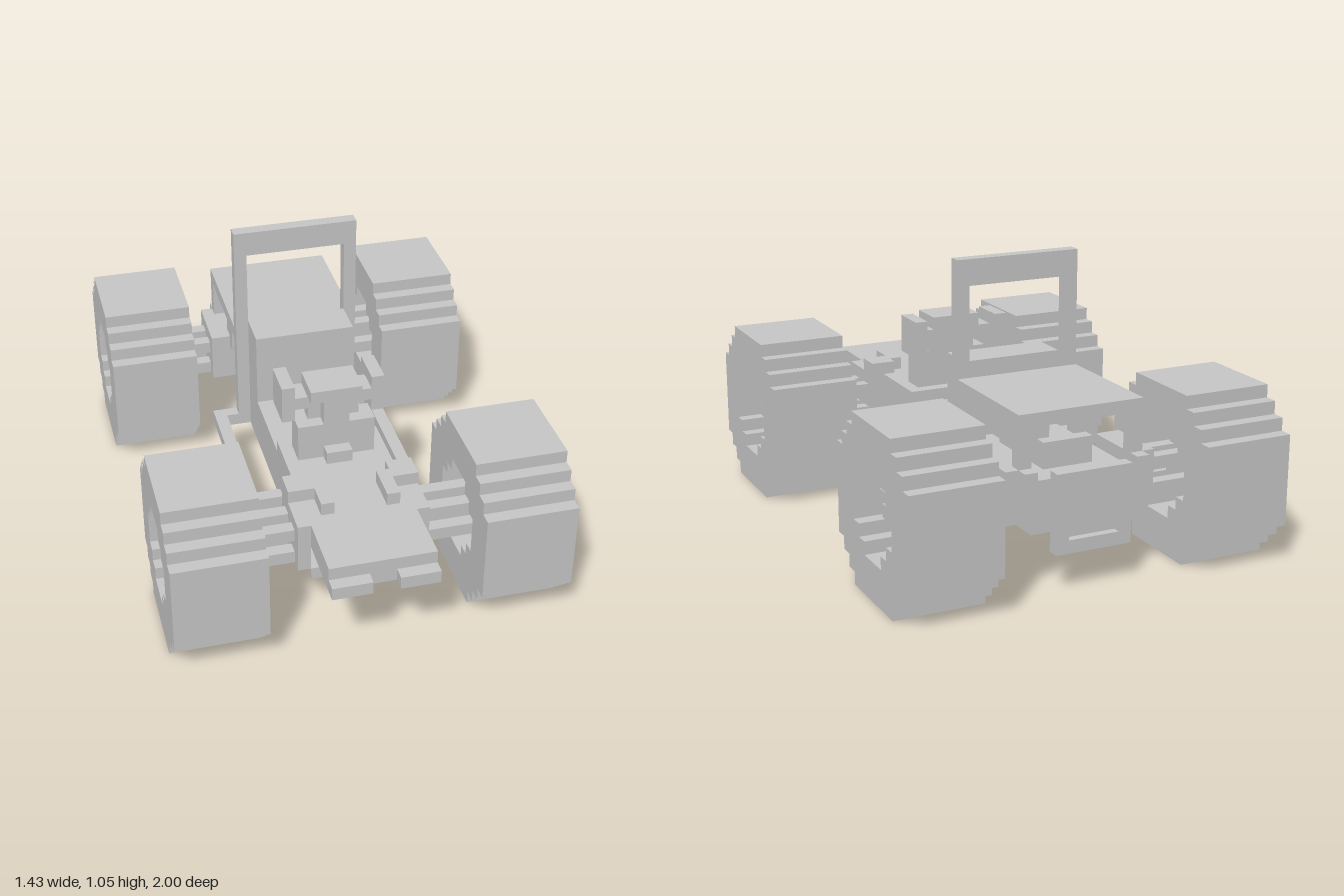
import * as THREE from 'three';

const U = 1 / 21; // one block
const lightGrey = new THREE.MeshStandardMaterial({ color: 0xc7c7c7 });
lightGrey.name = 'lightGrey';

export function createModel() {
  const model = new THREE.Group();

  // Box between two corners, measured in blocks
  function box(name, x0, x1, y0, y1, z0, z1, parent = model) {
    const g = new THREE.BoxGeometry((x1 - x0) * U, (y1 - y0) * U, (z1 - z0) * U);
    g.translate((x0 + x1) / 2 * U, (y0 + y1) / 2 * U, (z0 + z1) / 2 * U);
    const m = new THREE.Mesh(g, lightGrey);
    m.name = name;
    parent.add(m);
  }
  // Same box on both sides of the model
  function pair(name, x0, x1, y0, y1, z0, z1) {
    box(name, x0, x1, y0, y1, z0, z1);
    box(name, -x1, -x0, y0, y1, z0, z1);
  }

  // Stepped round outline from one quadrant of corners (a, b), mirrored four ways
  function steppedPoints(quadrant) {
    const back = [...quadrant].reverse();
    return [
      ...quadrant,
      ...back.map(([a, b]) => [-a, b]),
      ...quadrant.map(([a, b]) => [-a, -b]),
      ...back.map(([a, b]) => [a, -b]),
    ].map(([a, b]) => new THREE.Vector2(a * U, b * U));
  }
  const tyreOutline = steppedPoints([[6.5, 3.5], [5.5, 3.5], [5.5, 4.5], [4.5, 4.5], [4.5, 5.5], [3.5, 5.5], [3.5, 6.5]]);
  const hubOutline = steppedPoints([[3.5, 1.5], [2.5, 1.5], [2.5, 2.5], [1.5, 2.5], [1.5, 3.5]]);

  // Extruded slab lying across the wheel axis
  function slab(name, shape, x0, x1, parent) {
    const g = new THREE.ExtrudeGeometry(shape, { depth: (x1 - x0) * U, bevelEnabled: false });
    g.rotateY(Math.PI / 2);
    g.translate(x0 * U, 0, 0);
    const m = new THREE.Mesh(g, lightGrey);
    m.name = name;
    parent.add(m);
  }

  // Wheels with recessed hubs and four-rod axles
  for (const zc of [12.5, -14.5]) {
    for (const side of [1, -1]) {
      const wheel = new THREE.Group();
      wheel.name = zc > 0 ? 'frontWheel' : 'rearWheel';
      wheel.position.set(side * 11.5 * U, 6.5 * U, zc * U);
      const tyre = new THREE.Shape(tyreOutline);
      tyre.holes.push(new THREE.Path(hubOutline));
      slab('tyre', tyre, -3.5, 3.5, wheel);
      slab('hubDisc', new THREE.Shape(hubOutline), -0.5, 0.5, wheel);
      box('hubSpoke', -1.5, 1.5, -3.5, 3.5, -0.5, 0.5, wheel);
      box('hubSpoke', -1.5, 1.5, -0.5, 0.5, -3.5, 3.5, wheel);
      box('hubCap', -2.5, 2.5, -0.5, 0.5, -0.5, 0.5, wheel);
      model.add(wheel);
    }
    for (const dy of [-1.5, 0.5]) {
      for (const dz of [-1.5, 0.5]) {
        pair('axleRod', 4, 11, 6.5 + dy, 7.5 + dy, zc + dz, zc + dz + 1);
      }
    }
  }

  // Ladder chassis
  pair('chassisRail', 3, 4, 4, 5, -17, 15);
  for (const z of [-17, -11, -4, 3, 8, 14]) box('chassisCrossbeam', -3, 3, 4, 5, z, z + 1);
  box('floorPan', -4, 4, 5, 8, -7, 7);

  // Side steps
  pair('sideStep', 6, 7, 4, 5, -7, 6);
  pair('sideStepArm', 4, 6, 4, 5, 5, 6);
  pair('sideStepArm', 4, 6, 4, 5, -7, -6);

  // Hood, nose and bumper
  box('hood', -4, 4, 7, 9, 4, 20);
  box('noseBase', -3, 3, 5, 7, 7, 15);
  pair('bumper', 1, 4, 7, 8, 20, 21);
  pair('frontAxleBracket', 4, 5, 5, 9, 10, 15);
  pair('frontShockTower', 3, 5, 9, 10, 10, 12);
  pair('frontShockStep', 2, 3, 9, 10, 11, 14);

  // Steering column and yoke
  box('columnFoot', -1, 1, 9, 10, 7, 8);
  box('steeringColumn', -3, 3, 9, 12, 5, 7);
  box('steeringNeck', -1, 1, 12, 14, 4, 7);
  box('steeringTop', -2, 2, 14, 15, 4, 7);
  pair('steeringShoulder', 1, 2, 12, 14, 5, 6);
  pair('steeringArm', 2, 3, 13, 14, 4, 6);
  pair('steeringGrip', 3, 4, 12, 15, 3, 6);

  // Seat back and roll bar
  box('seatBack', -4, 4, 8, 14, -6, -3);
  pair('rollBarPost', 4, 5, 4, 20, -7, -6);
  box('rollBarTop', -5, 5, 20, 22, -7, -6);

  // Engine bay: cover on posts, open at sides and rear
  box('engineCover', -5, 5, 12, 13, -17, -7);
  pair('coverPost', 4, 5, 5, 12, -17, -16);
  pair('coverBrace', 4, 5, 11, 12, -10, -8);
  pair('coverBrace', 4, 5, 10, 11, -9, -8);
  box('engineBed', -4, 4, 5, 8, -17, -7);
  box('engineBlock', -2, 2, 8, 10, -15, -8);
  for (const z of [-14, -12, -10]) pair('cylinder', 1, 3, 9, 11, z, z + 1);
  pair('rearAxleBracket', 4, 6, 5, 9, -17, -12);

  // Rear plate with raised rim, and tail lights
  box('rearPlateMount', -2, 2, 4, 8, -18, -17);
  box('rearPlate', -3, 3, 3, 9, -18.4, -18);
  pair('plateRim', 2, 3, 3, 9, -19, -18.4);
  box('plateRim', -2, 2, 3, 4, -19, -18.4);
  box('plateRim', -2, 2, 8, 9, -19, -18.4);
  pair('tailLight', 4, 5, 5, 9, -18, -17);

  return model;
}
